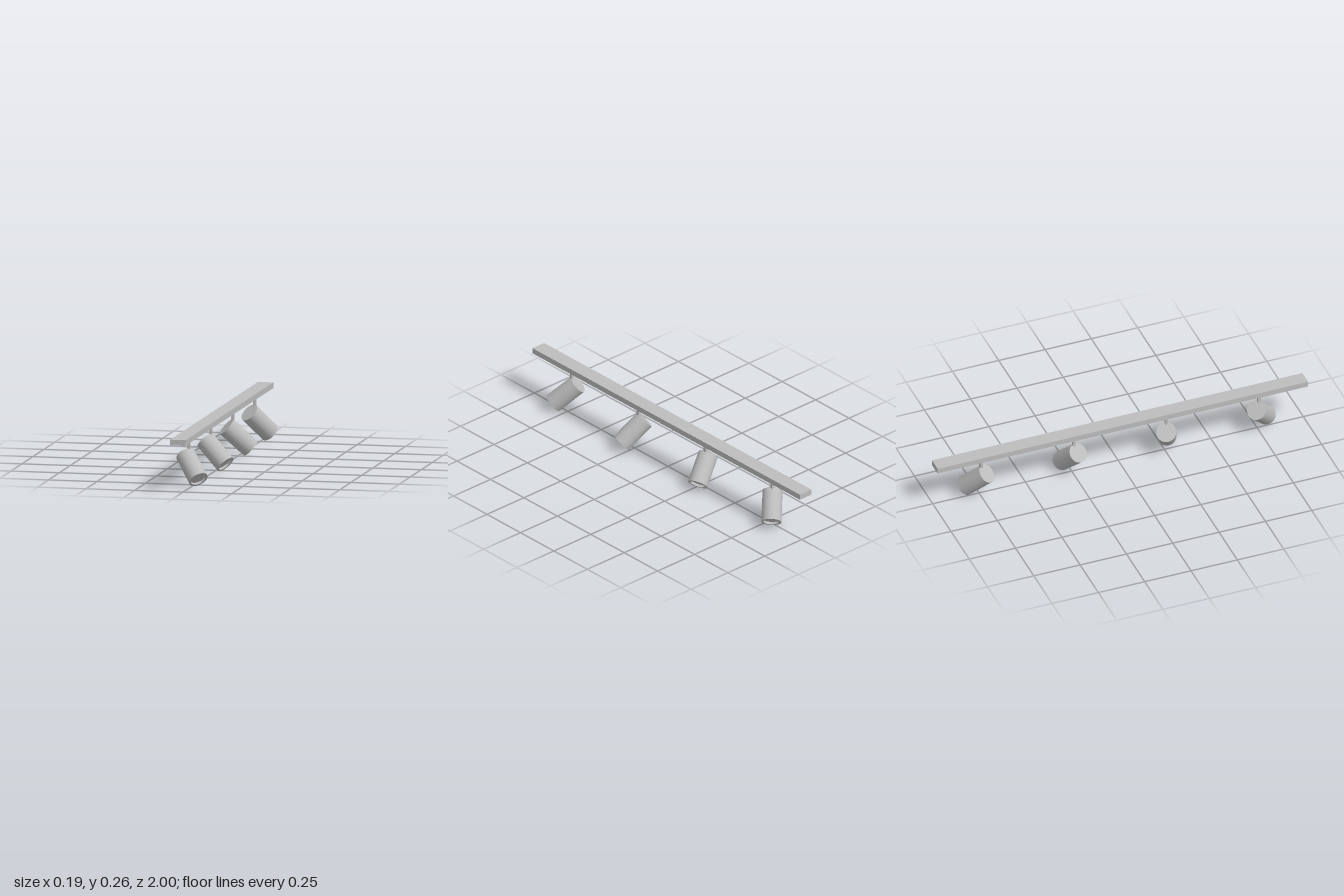
import * as THREE from 'three';
import { toCreasedNormals } from 'three/addons/utils/BufferGeometryUtils.js';

const AXIS_X = -0.027;       // centre line of the ceiling bar
const RADIUS = 0.0505, LENGTH = 0.166;
const TILT = THREE.MathUtils.degToRad(42.5);

export function createModel() {
  const model = new THREE.Group();
  model.name = 'trackLight';
  const grey = new THREE.MeshStandardMaterial({ color: 0xbcbcbc });
  grey.name = 'light grey';

  const add = (parent, name, geometry, x, y, z) => {
    const mesh = new THREE.Mesh(geometry, grey);
    mesh.name = name;
    mesh.position.set(x, y, z);
    parent.add(mesh);
    return mesh;
  };

  // Long ceiling bar
  add(model, 'ceilingBar', new THREE.BoxGeometry(0.079, 0.029, 2), AXIS_X, 0.2495, 0);

  // Lamp can: closed back, rim and recessed lens at the +y end
  const h = LENGTH / 2, inner = 0.04, recess = 0.013;
  const profile = [
    [0, -h], [RADIUS, -h], [RADIUS, h], [inner, h], [inner, h - recess], [0, h - recess],
  ].map(([x, y]) => new THREE.Vector2(x, y));
  const canGeometry = toCreasedNormals(new THREE.LatheGeometry(profile, 24), 0.6);
  const stemGeometry = new THREE.BoxGeometry(0.014, 0.115, 0.014);

  // Four spotlights fanning outwards, mirrored about the middle
  const up = new THREE.Vector3(0, 1, 0);
  for (const side of [1, -1]) {
    for (const [z, yawDegrees] of [[0.25, 22.5], [0.75, 45]]) {
      const yaw = THREE.MathUtils.degToRad(yawDegrees);
      const aim = new THREE.Vector3(
        Math.cos(TILT) * Math.cos(yaw), -Math.sin(TILT), side * Math.cos(TILT) * Math.sin(yaw));
      const spot = new THREE.Group();
      spot.name = 'spotlight';
      spot.position.set(AXIS_X, 0.1205, side * z);
      add(spot, 'stem', stemGeometry, 0, 0.0575, 0);
      const can = add(spot, 'lampCan', canGeometry, 0, 0, 0);
      can.position.copy(aim).multiplyScalar(0.04);
      can.quaternion.setFromUnitVectors(up, aim);
      model.add(spot);
    }
  }
  return model;
}
